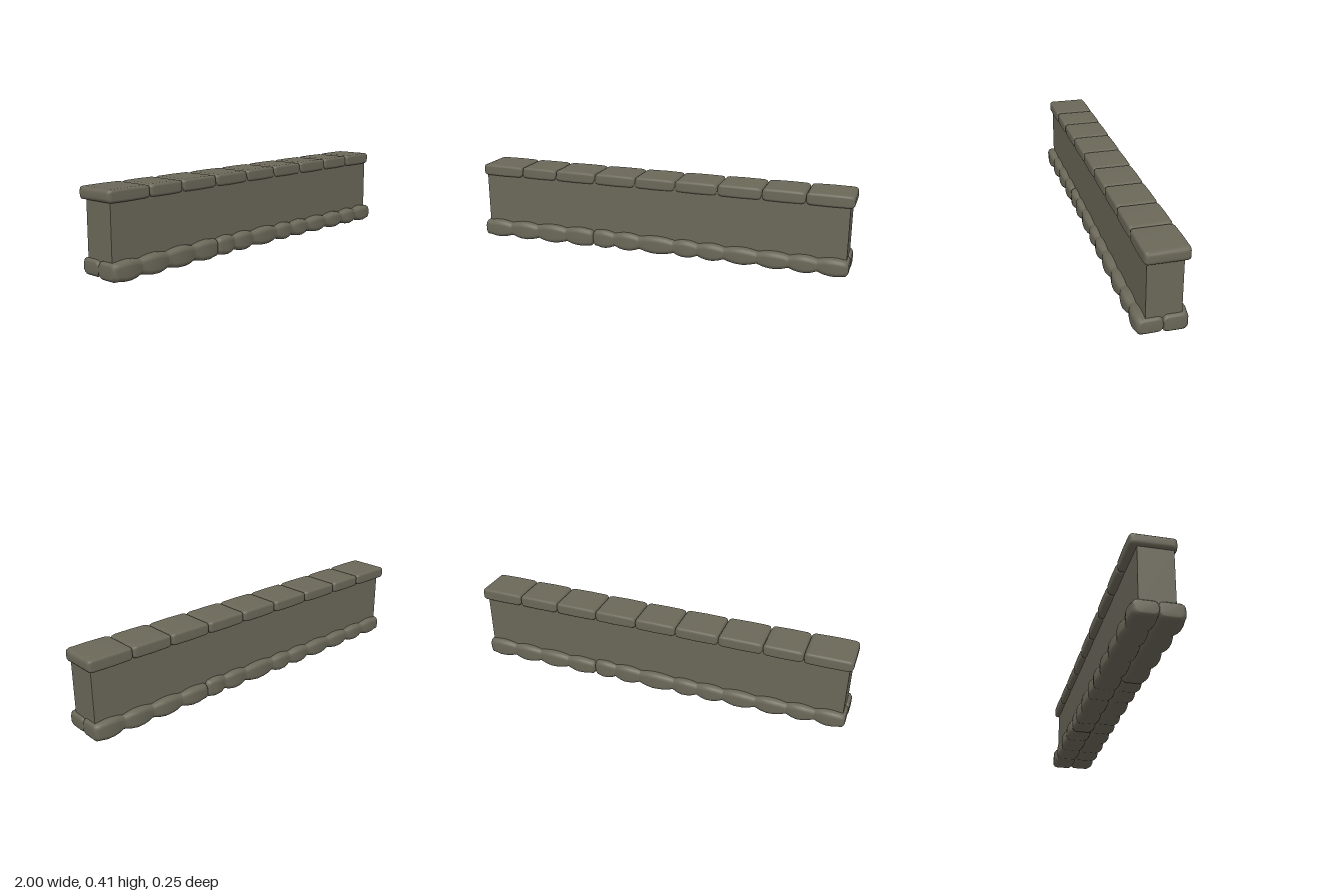
import * as THREE from 'three';

const stone = new THREE.MeshStandardMaterial({ color: 0x6b6859 });
stone.name = 'weathered stone';

// Small repeatable variation in the range -1..1
const vary = (i) => Math.sin(i * 12.9898 + 1.7);

// Rounded rectangle in the z-y plane, returned as [z, y] points
function ring(z0, z1, y0, y1, r) {
  const points = [];
  const corners = [[z1 - r, y1 - r], [z0 + r, y1 - r], [z0 + r, y0 + r], [z1 - r, y0 + r]];
  corners.forEach(([cz, cy], c) => {
    for (let k = 0; k <= 4; k++) {
      const a = (c + k / 4) * Math.PI / 2;
      points.push([cz + r * Math.cos(a), cy + r * Math.sin(a)]);
    }
  });
  return points;
}

// Skin a list of { x, points } sections and close both ends
function loft(sections) {
  const pos = [], index = [], n = sections[0].points.length;
  for (const s of sections) for (const [z, y] of s.points) pos.push(s.x, y, z);
  for (let s = 0; s < sections.length - 1; s++) {
    for (let i = 0; i < n; i++) {
      const a = s * n + i, b = s * n + (i + 1) % n;
      index.push(a, a + n, b, b, a + n, b + n);
    }
  }
  [0, sections.length - 1].forEach((s, end) => {
    const p = sections[s].points, centre = pos.length / 3;
    pos.push(sections[s].x, p.reduce((t, q) => t + q[1], 0) / n, p.reduce((t, q) => t + q[0], 0) / n);
    for (let i = 0; i < n; i++) {
      const a = s * n + i, b = s * n + (i + 1) % n;
      index.push(centre, ...(end ? [b, a] : [a, b]));
    }
  });
  const g = new THREE.BufferGeometry();
  g.setAttribute('position', new THREE.Float32BufferAttribute(pos, 3));
  g.setIndex(index);
  g.computeVertexNormals();
  return g;
}

function addMesh(group, geometry, name) {
  const mesh = new THREE.Mesh(geometry, stone);
  mesh.name = name;
  group.add(mesh);
}

// One coping slab with softened ends
function capStone(x0, x1, i) {
  const z0 = -0.116 - 0.005 * vary(i), z1 = 0.092 + 0.007 * vary(i + 3);
  const y0 = 0.346, y1 = 0.408 + 0.002 * vary(i + 5);
  const w = x1 - x0;
  const stations = [[0, 0.018], [0.002, 0.011], [0.008, 0.004], [0.022, 0.001], [w / 2, 0],
    [w - 0.022, 0.001], [w - 0.008, 0.004], [w - 0.002, 0.011], [w, 0.018]];
  return loft(stations.map(([dx, d]) => ({
    x: x0 + dx, points: ring(z0 + d, z1 - d, y0 + d, y1 - d, 0.013),
  })));
}

// A run of rounded rubble, pinched where neighbouring lumps join
function rubbleRun(edges, side, seed) {
  const sections = [];
  const last = edges.length - 2;
  const put = (x, d, i) => {
    const outer = 0.118 + 0.005 * vary(i + seed) - d, inner = -0.004 + d * 0.3;
    const [z0, z1] = side > 0 ? [inner, outer] : [-outer, -inner];
    const y0 = 0.004 + 0.003 * vary(i + seed + 4) + d;
    const y1 = 0.097 + 0.005 * vary(i + seed + 8) - d;
    sections.push({ x, points: ring(z0, z1, y0, y1, 0.024) });
  };
  for (let i = 0; i <= last; i++) {
    const a = edges[i], w = edges[i + 1] - a;
    if (i === 0) [[0, 0.02], [0.003, 0.014], [0.012, 0.006]].forEach(([dx, d]) => put(a + dx, d, i));
    else put(a + 0.003, 0.012, i);
    [[0.2, 0.005], [0.38, 0.001], [0.6, 0], [0.8, 0.004]].forEach(([t, d]) => put(a + w * t, d, i));
    if (i === last) [[0.012, 0.006], [0.003, 0.014], [0, 0.02]].forEach(([dx, d]) => put(a + w - dx, d, i));
    else put(a + w - 0.003, 0.011, i);
  }
  return loft(sections);
}

export function createModel() {
  const model = new THREE.Group();
  model.name = 'stoneWall';

  // Plain wall core
  const core = new THREE.BoxGeometry(1.96, 0.32, 0.163);
  core.translate(-0.003, 0.21, -0.0035);
  addMesh(model, core, 'wallCore');

  // Coping along the top
  const coping = new THREE.Group();
  coping.name = 'coping';
  const joints = [-1, -0.765, -0.565, -0.34, -0.115, 0.102, 0.325, 0.55, 0.765, 0.997];
  for (let i = 0; i < joints.length - 1; i++) {
    addMesh(coping, capStone(joints[i], joints[i + 1], i), 'copingStone' + (i + 1));
  }
  model.add(coping);

  // Two parallel rows of rubble at the foot, each with one open joint
  const footing = new THREE.Group();
  footing.name = 'footing';
  const frontLeft = [-0.35, -0.23, -0.09, 0.1, 0.23, 0.37, 0.54, 0.7, 0.84, 0.99];
  const frontRight = [-1, -0.84, -0.68, -0.51, -0.35];
  addMesh(footing, rubbleRun(frontRight, 1, 2), 'frontFootingRight');
  addMesh(footing, rubbleRun(frontLeft, 1, 7), 'frontFootingLeft');
  const flip = (edges) => edges.map((x) => -x - 0.008).reverse();
  addMesh(footing, rubbleRun(flip(frontLeft), -1, 11), 'backFootingRight');
  addMesh(footing, rubbleRun(flip(frontRight), -1, 15), 'backFootingLeft');
  model.add(footing);

  return model;
}
